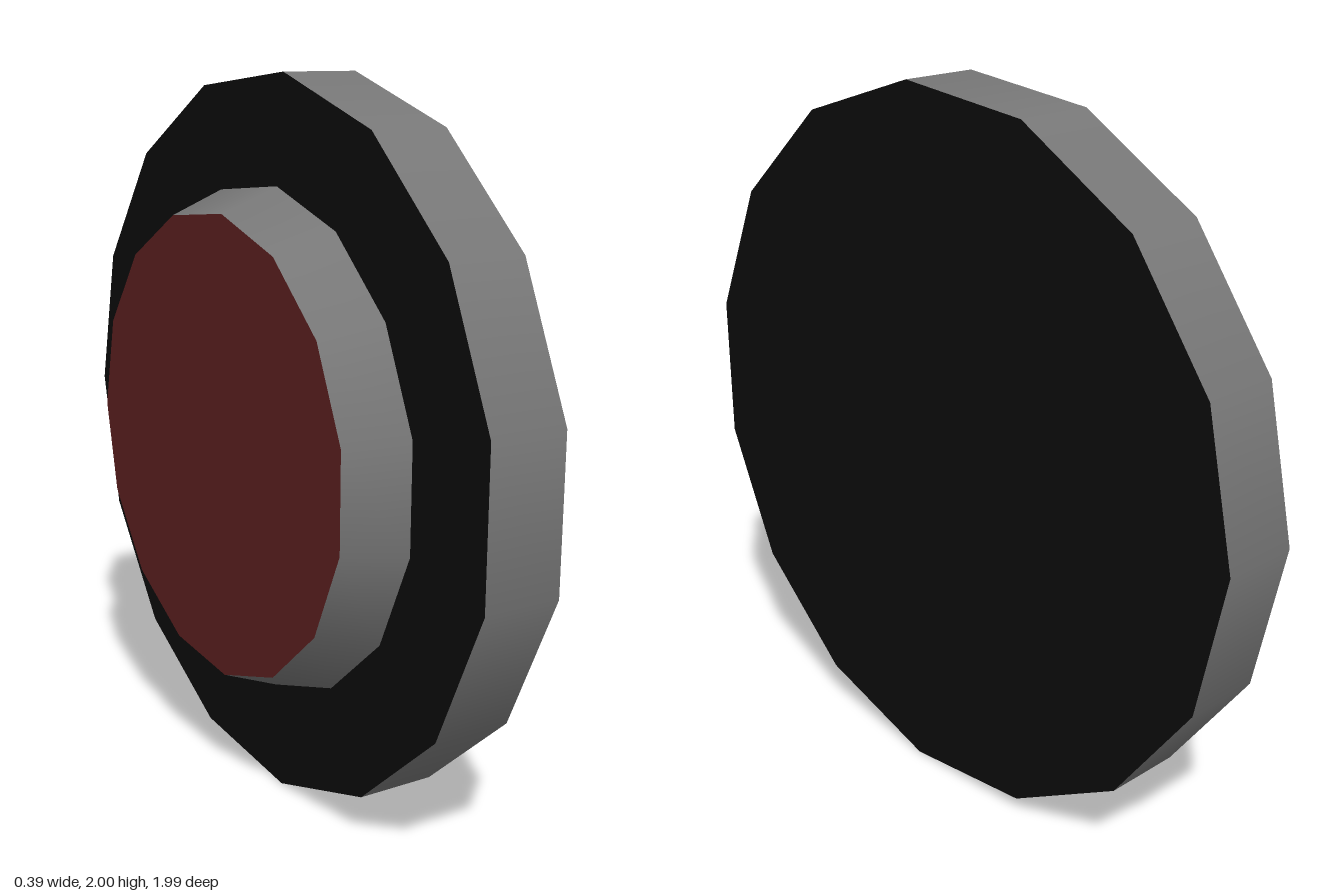
import * as THREE from 'three';

const SIDES = 15;
const CENTRE = [0, 1, 0.01];

const rimGrey = new THREE.MeshStandardMaterial({ color: 0x777777 });
const faceBlack = new THREE.MeshStandardMaterial({ color: 0x0c0c0c });
const lensRed = new THREE.MeshStandardMaterial({ color: 0x5c1f1f });

function add(group, name, geometry, material, x) {
  const mesh = new THREE.Mesh(geometry, material);
  mesh.name = name;
  mesh.position.set(x, CENTRE[1], CENTRE[2]);
  group.add(mesh);
}

// Open band around the x axis, with a corner pointing to -z
function band(x0, r0, x1, r1) {
  return new THREE.CylinderGeometry(r1, r0, x1 - x0, SIDES, 1, true, Math.PI).rotateZ(-Math.PI / 2);
}

// Flat polygon facing +x (dir 1) or -x (dir -1), with a corner pointing to -z
function cap(r, dir) {
  return new THREE.CircleGeometry(r, SIDES, dir > 0 ? 0 : Math.PI).rotateY(dir * Math.PI / 2);
}

export function createModel() {
  const model = new THREE.Group();
  model.name = 'roundLamp';

  const back = 0.195, step = -0.03, tip = -0.195;
  const discR = 1.0055, hubR = 0.709, lensR = 0.645;

  // Large disc
  add(model, 'discRim', band(step, discR, back, discR), rimGrey, (step + back) / 2);
  add(model, 'discOuterFace', cap(discR, 1), faceBlack, back);
  add(model, 'discInnerFace', cap(discR, -1), faceBlack, step);

  // Tapered hub with its red face
  add(model, 'hubRim', band(tip, lensR, step, hubR), rimGrey, (tip + step) / 2);
  add(model, 'hubFace', cap(lensR, -1), lensRed, tip);

  return model;
}
